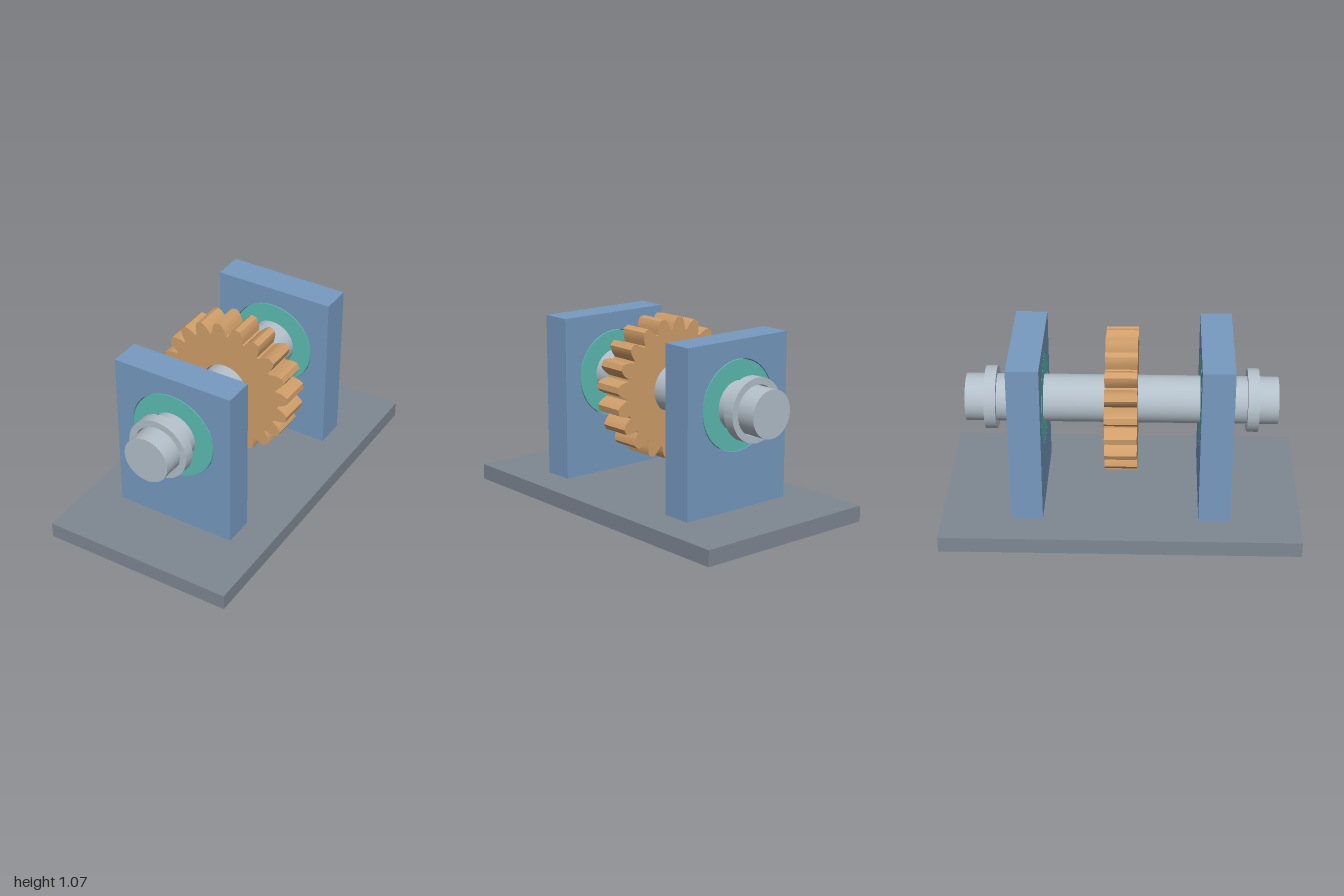
import * as THREE from 'three';
import { toCreasedNormals } from 'three/addons/utils/BufferGeometryUtils.js';

const AXIS_Y = 0.668;
const BORE = 0.139;

const mat = (name, color) => new THREE.MeshStandardMaterial({ name, color });

// Extrudes a shape along z, centred on z = 0, with a round hole at (0, 0)
function plate(shape, holeRadius, depth) {
  shape.holes.push(new THREE.Path().absarc(0, 0, holeRadius, 0, Math.PI * 2, true));
  const geo = new THREE.ExtrudeGeometry(shape, { depth, bevelEnabled: false, curveSegments: 64 });
  geo.translate(0, 0, -depth / 2);
  return toCreasedNormals(geo, 0.3);
}

const disc = (radius) => new THREE.Shape().absarc(0, 0, radius, 0, Math.PI * 2, false);

// Spur gear outline: each tooth is a tapered profile mirrored about its centre line
function gearShape(teeth, phase) {
  const half = [[0.333, 8], [0.36, 6.3], [0.382, 4.6], [0.4, 2.4]]; // radius, half width in degrees
  const profile = [
    ...half.map(([r, a]) => [r, -a]),
    ...half.slice().reverse(),
  ];
  const points = [];
  for (let i = 0; i < teeth; i++) {
    for (const [r, a] of profile) {
      const t = THREE.MathUtils.degToRad(phase + (i * 360) / teeth + a);
      points.push(new THREE.Vector2(r * Math.cos(t), r * Math.sin(t)));
    }
  }
  return new THREE.Shape(points);
}

// Bearing block outline, measured from the shaft axis
function blockShape() {
  const w = 0.355, top = 1.025 - AXIS_Y, bottom = 0.09 - AXIS_Y;
  return new THREE.Shape([
    new THREE.Vector2(-w, bottom), new THREE.Vector2(w, bottom),
    new THREE.Vector2(w, top), new THREE.Vector2(-w, top),
  ]);
}

export function createModel() {
  const model = new THREE.Group();
  model.name = 'gearShaftAssembly';

  const baseGrey = mat('baseGrey', 0x7e8792);
  const blockBlue = mat('blockBlue', 0x7799c0);
  const bearingTeal = mat('bearingTeal', 0x5cbcb2);
  const gearBronze = mat('gearBronze', 0xcf9e6a);
  const steel = mat('steel', 0xb3bfc9);

  const add = (name, geo, material, y, z) => {
    const mesh = new THREE.Mesh(geo, material);
    mesh.name = name;
    mesh.position.set(0, y, z);
    model.add(mesh);
  };

  // Base plate
  add('basePlate', new THREE.BoxGeometry(1.11, 0.09, 2), baseGrey, 0.045, 0);

  // Shaft and gear
  const shaft = new THREE.CylinderGeometry(0.133, 0.133, 1.732, 64).rotateX(Math.PI / 2);
  add('shaft', shaft, steel, AXIS_Y, 0);
  add('gear', plate(gearShape(20, 6.4), BORE, 0.177), gearBronze, AXIS_Y, 0);

  // Bearing block, bearing and collar at each end
  const block = plate(blockShape(), 0.254, 0.178);
  const bearing = plate(disc(0.249), BORE, 0.178);
  const collar = plate(disc(0.177), BORE, 0.064);
  for (const [end, s] of [['front', 1], ['back', -1]]) {
    add(end + 'Block', block, blockBlue, AXIS_Y, s * 0.522);
    add(end + 'Bearing', bearing, bearingTeal, AXIS_Y, s * 0.522);
    add(end + 'Collar', collar, steel, AXIS_Y, s * 0.725);
  }
  return model;
}
